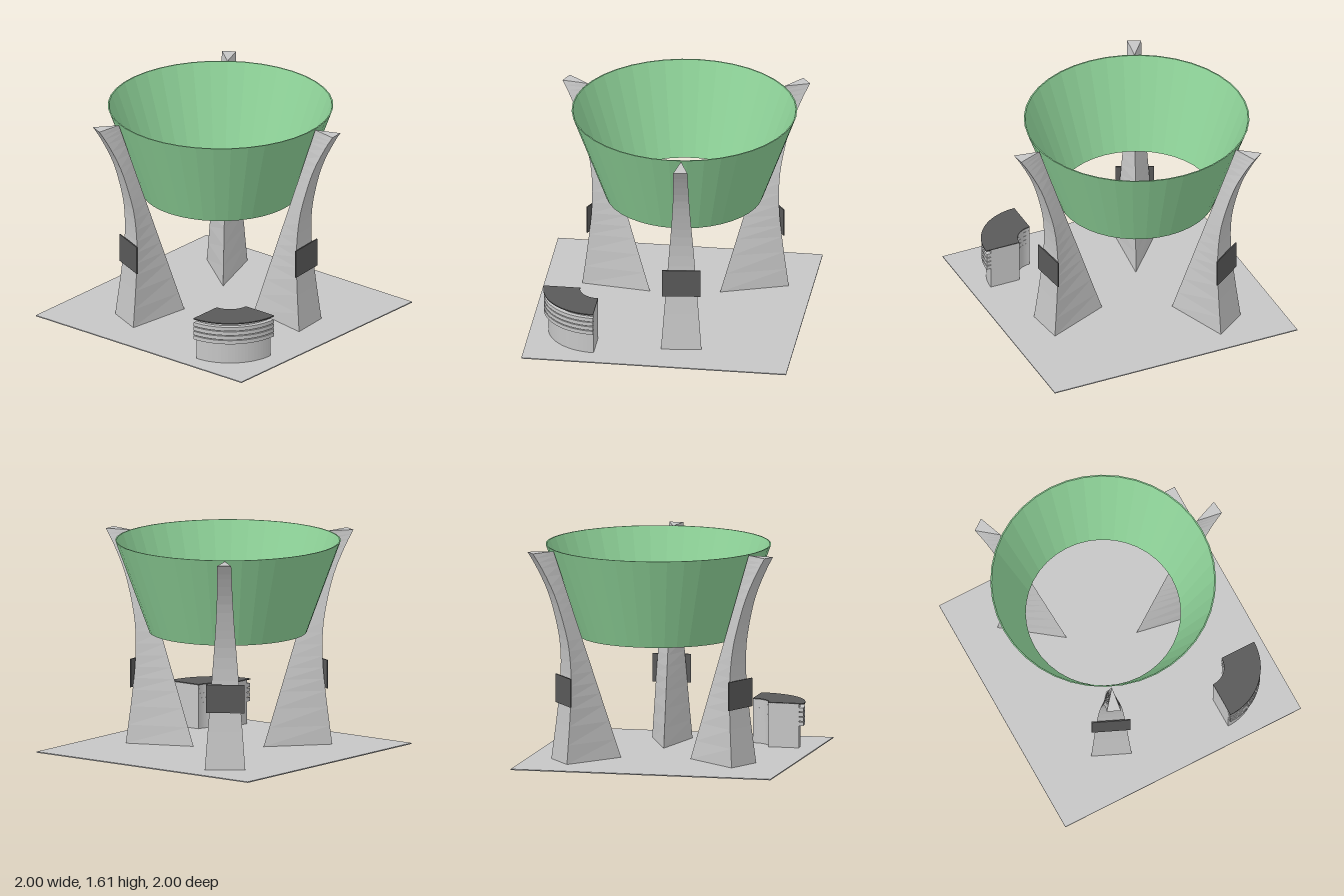
import * as THREE from 'three';

const lightGray = new THREE.MeshStandardMaterial({ name: 'lightGray', color: 0xc6c6c6 });
const darkGray = new THREE.MeshStandardMaterial({ name: 'darkGray', color: 0x5a5a5a });
const green = new THREE.MeshStandardMaterial({ name: 'green', color: 0x8ed298 });

// Axis shared by the bowl and its three legs
const AXIS = { x: -0.1, z: -0.08 };

function part(name, geometry, material) {
  const mesh = new THREE.Mesh(geometry, material);
  mesh.name = name;
  return mesh;
}

// One normal per face, for faceted parts
function faceted(geometry) {
  const g = geometry.index ? geometry.toNonIndexed() : geometry;
  g.computeVertexNormals();
  return g;
}

// Tapered leg: triangular sections with a sharp inner edge and a curved outer face
function legGeometry() {
  // outer radius, height, half width
  const outer = new THREE.CatmullRomCurve3([
    [0.805, 0.008, 0.152], [0.765, 0.4, 0.122], [0.75, 0.65, 0.103], [0.765, 0.9, 0.084],
    [0.81, 1.1, 0.07], [0.875, 1.3, 0.06], [0.975, 1.5, 0.055], [1.04, 1.605, 0.053],
  ].map((p) => new THREE.Vector3(...p)));
  const steps = 20;
  const rings = [];
  for (let i = 0; i <= steps; i++) {
    const p = outer.getPoint(i / steps);
    const inner = 0.3 + (0.55 * p.y) / 1.605;
    rings.push([[p.x, p.y, p.z], [p.x, p.y, -p.z], [inner, p.y, 0]]);
  }
  const v = [];
  const tri = (a, b, c) => v.push(...a, ...b, ...c);
  for (let i = 0; i < steps; i++) {
    const lo = rings[i], hi = rings[i + 1];
    for (let k = 0; k < 3; k++) {
      const n = (k + 1) % 3;
      tri(lo[k], lo[n], hi[n]);
      tri(lo[k], hi[n], hi[k]);
    }
  }
  tri(...rings[steps]);
  tri(...[...rings[0]].reverse());
  const g = new THREE.BufferGeometry();
  g.setAttribute('position', new THREE.Float32BufferAttribute(v, 3));
  return faceted(g);
}

// Quarter ring slab between two heights
function quarterRing(inner, outer, y0, y1) {
  const shape = new THREE.Shape();
  shape.absarc(0, 0, outer, 0, Math.PI / 2, false);
  shape.absarc(0, 0, inner, Math.PI / 2, 0, true);
  const g = new THREE.ExtrudeGeometry(shape, { depth: y1 - y0, bevelEnabled: false, curveSegments: 12 });
  return g.rotateX(Math.PI / 2).translate(0, y1, 0);
}

export function createModel() {
  const model = new THREE.Group();
  model.name = 'model';

  // Ground slab
  model.add(part('basePlate', new THREE.BoxGeometry(2, 0.008, 2).translate(0, 0.004, 0), lightGray));

  // Open conical bowl with a thin wall
  const wall = [[0.58, 0.915], [0.59, 0.915], [0.845, 1.61], [0.835, 1.61], [0.58, 0.915]];
  const bowl = part('bowl',
    faceted(new THREE.LatheGeometry(wall.map((p) => new THREE.Vector2(...p)), 40)), green);
  bowl.position.set(AXIS.x, 0, AXIS.z);
  model.add(bowl);

  // Three legs, each with a dark sign panel on its outer face
  const legShape = legGeometry();
  const panelShape = new THREE.BoxGeometry(0.009, 0.215, 0.29).translate(0.769, 0.543, 0);
  for (let i = 0; i < 3; i++) {
    const support = new THREE.Group();
    support.name = 'support' + (i + 1);
    support.position.set(AXIS.x, 0, AXIS.z);
    support.rotation.y = THREE.MathUtils.degToRad(6.2 + 120 * i);
    support.add(part('leg', legShape, lightGray), part('legPanel', panelShape, darkGray));
    model.add(support);
  }

  // Quarter-round counter with ribbed upper band and dark top
  const counter = new THREE.Group();
  counter.name = 'counter';
  counter.position.set(0.453, 0, 0.475);
  counter.add(part('counterBody', quarterRing(0.157, 0.392, 0.008, 0.34), lightGray));
  for (let i = 0; i < 4; i++) {
    const y = 0.175 + i * 0.036;
    counter.add(part('counterRib', quarterRing(0.156, 0.426, y, y + 0.029), lightGray));
  }
  counter.add(part('counterTop', quarterRing(0.155, 0.43, 0.338, 0.346), darkGray));
  model.add(counter);

  return model;
}
